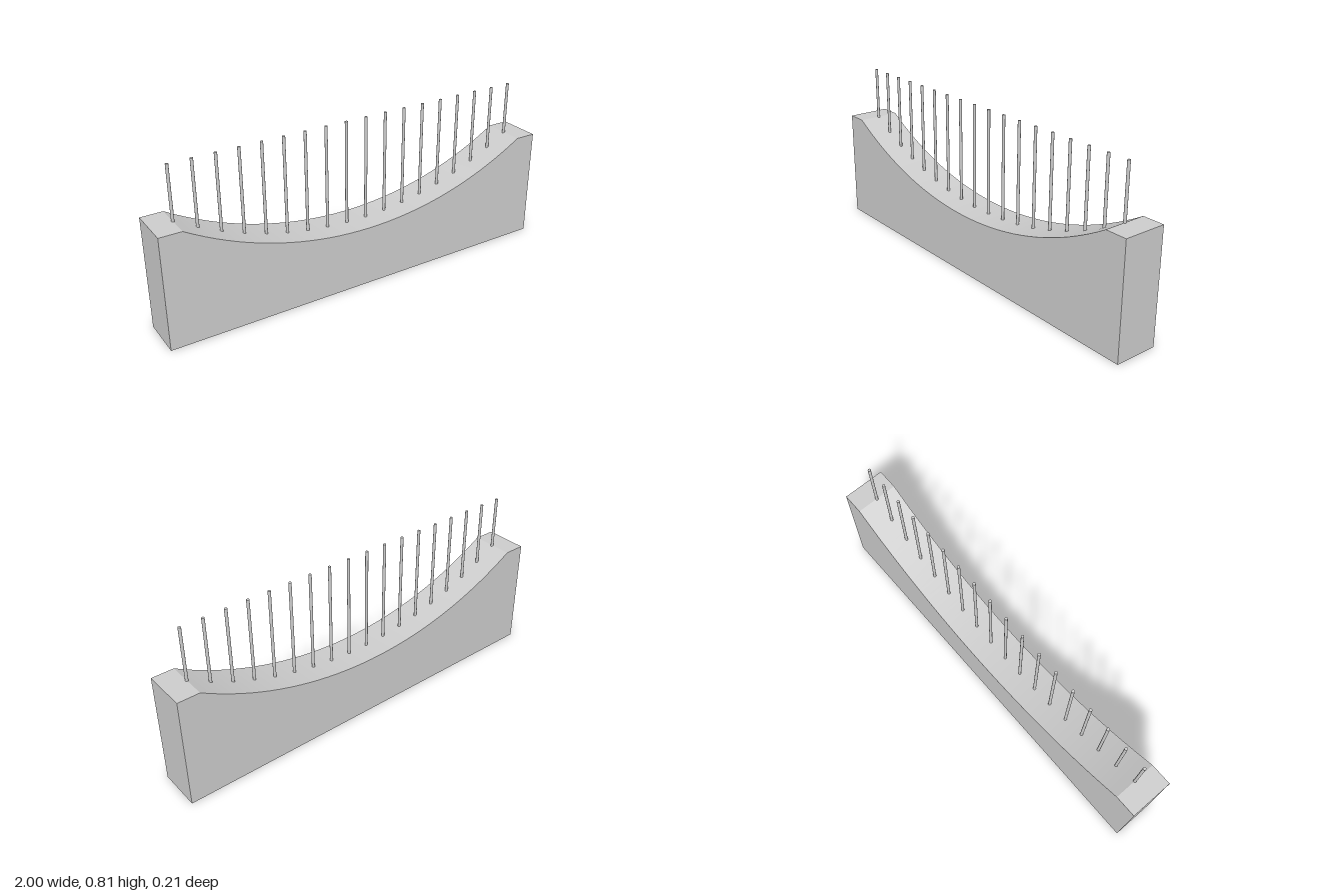
import * as THREE from 'three';
import { toCreasedNormals } from 'three/addons/utils/BufferGeometryUtils.js';

const HEIGHT = 0.546, LOW = 0.297, HALF_SPAN = 0.895, DEPTH = 0.21;
const SAG = HEIGHT - LOW;
const R = (HALF_SPAN ** 2 + SAG ** 2) / (2 * SAG);
const CENTRE_Y = LOW + R;
const curveY = (x) => CENTRE_Y - Math.sqrt(R * R - x * x);

export function createModel() {
  const group = new THREE.Group();
  const material = new THREE.MeshStandardMaterial({ color: 0xcccccc });

  // Block with a circular hollow cut into its top
  const angle = Math.atan2(HEIGHT - CENTRE_Y, HALF_SPAN);
  const profile = new THREE.Shape();
  profile.moveTo(-1, 0);
  profile.lineTo(1, 0);
  profile.lineTo(1, HEIGHT);
  profile.lineTo(HALF_SPAN, HEIGHT);
  profile.absarc(0, CENTRE_Y, R, angle, -Math.PI - angle, true);
  profile.lineTo(-1, HEIGHT);
  profile.closePath();
  const blockGeometry = new THREE.ExtrudeGeometry(profile, {
    depth: DEPTH, bevelEnabled: false, curveSegments: 18,
  });
  blockGeometry.translate(0, 0, -DEPTH / 2);
  const block = new THREE.Mesh(toCreasedNormals(blockGeometry, 0.3), material);
  block.name = 'curvedBase';
  group.add(block);

  // Evenly spaced rods rising from the hollow to one common height
  const rods = new THREE.Group();
  rods.name = 'rods';
  const count = 18, top = 0.805;
  for (let i = 0; i < count; i++) {
    const x = HALF_SPAN * (2 * i / (count - 1) - 1);
    const bottom = curveY(x) - 0.005;
    const rod = new THREE.Mesh(
      new THREE.CylinderGeometry(0.007, 0.007, top - bottom, 16), material);
    rod.position.set(x, (top + bottom) / 2, 0);
    rod.name = `rod${i + 1}`;
    rods.add(rod);
  }
  group.add(rods);
  return group;
}
